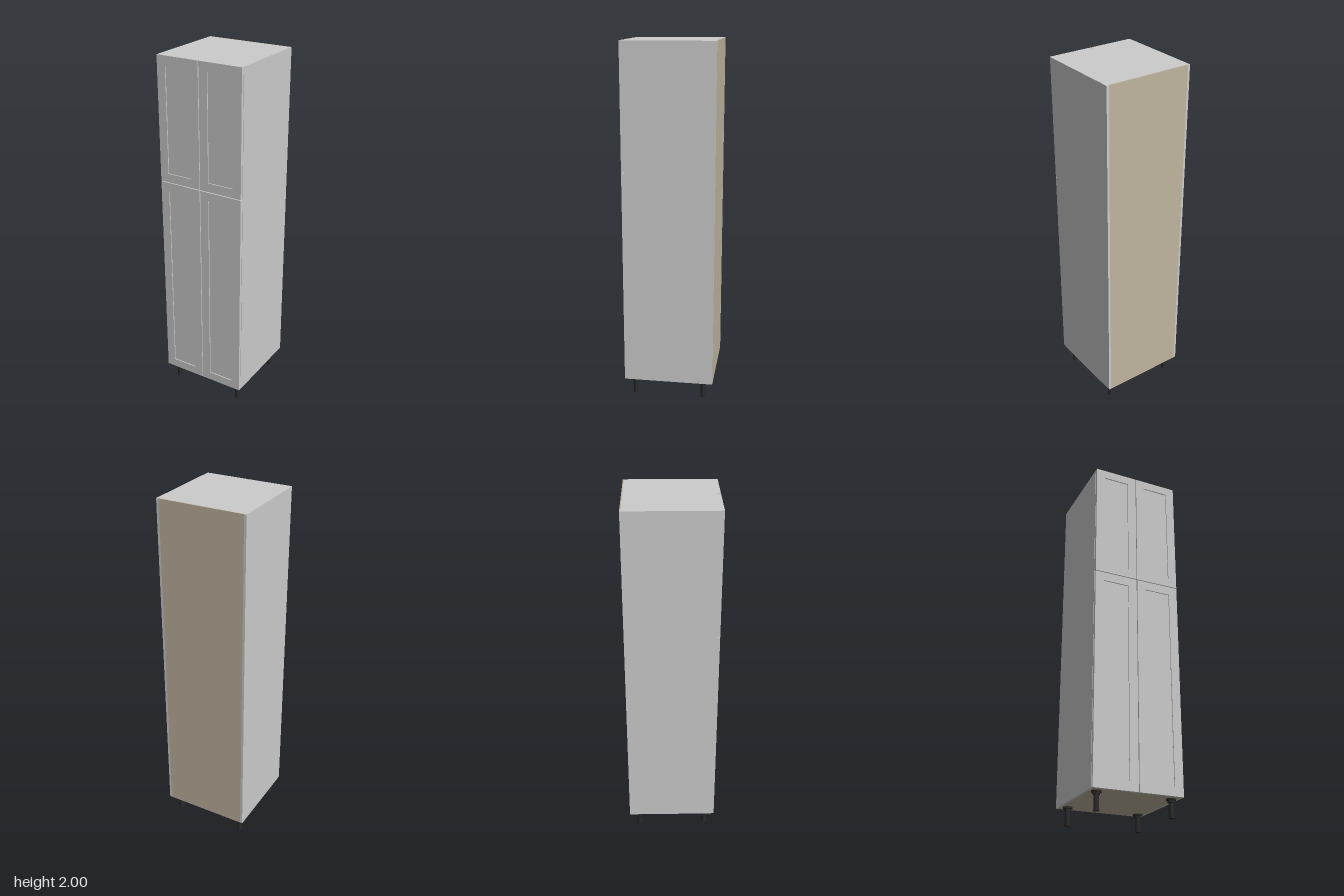
import * as THREE from 'three';

const grey = new THREE.MeshStandardMaterial({ color: 0xcccccc });
const board = new THREE.MeshStandardMaterial({ color: 0xbfb59f });
const black = new THREE.MeshStandardMaterial({ color: 0x2a2a2a });

// Box given by its minimum and maximum corners
function box(name, material, [x0, y0, z0], [x1, y1, z1]) {
  const mesh = new THREE.Mesh(new THREE.BoxGeometry(x1 - x0, y1 - y0, z1 - z0), material);
  mesh.position.set((x0 + x1) / 2, (y0 + y1) / 2, (z0 + z1) / 2);
  mesh.name = name;
  return mesh;
}

// Shaker door: frame with a shallow recessed panel
function createDoor(name, x0, x1, y0, y1) {
  const door = new THREE.Group();
  door.name = name;
  const rail = 0.05, back = 0.235, front = 0.252, recess = 0.006;
  const rectangle = (path, a, b, c, d) =>
    path.moveTo(a, c).lineTo(b, c).lineTo(b, d).lineTo(a, d).closePath();
  const outline = rectangle(new THREE.Shape(), x0, x1, y0, y1);
  outline.holes.push(rectangle(new THREE.Path(), x0 + rail, x1 - rail, y0 + rail, y1 - rail));
  const frame = new THREE.Mesh(
    new THREE.ExtrudeGeometry(outline, { depth: front - back, bevelEnabled: false }), grey);
  frame.position.z = back;
  frame.name = 'doorFrame';
  door.add(frame, box('doorPanel', grey,
    [x0 + rail, y0 + rail, back], [x1 - rail, y1 - rail, front - recess]));
  return door;
}

// Leg: mounting plate, collar, post and foot
function createLeg(name, x, z) {
  const leg = new THREE.Group();
  leg.name = name;
  const parts = [
    ['legPlate', 0.026, 0.091, 0.1],
    ['legCollar', 0.019, 0.08, 0.091],
    ['legPost', 0.014, 0.008, 0.08],
    ['legFoot', 0.016, 0, 0.008],
  ];
  for (const [part, radius, y0, y1] of parts) {
    const mesh = new THREE.Mesh(new THREE.CylinderGeometry(radius, radius, y1 - y0, 20), black);
    mesh.position.y = (y0 + y1) / 2;
    mesh.name = part;
    leg.add(mesh);
  }
  leg.position.set(x, 0, z);
  return leg;
}

export function createModel() {
  const cabinet = new THREE.Group();
  cabinet.name = 'tallCabinet';
  const w = 0.253, t = 0.013, inner = w - t;
  const bottom = 0.1, top = 2, back = -0.253, backFront = -0.247, front = 0.235;

  // Carcass
  cabinet.add(
    box('rightSide', grey, [-w, bottom, back], [-inner, top, front]),
    box('leftSide', grey, [inner, bottom, back], [w, top, front]),
    box('topPanel', grey, [-inner, top - t, backFront], [inner, top, front]),
    box('bottomPanel', board, [-inner, bottom, backFront], [inner, bottom + t, front]),
    box('backPanel', board, [-inner, bottom, back], [inner, top, backFront]),
    box('middleShelf', grey, [-inner, 1.303, backFront], [inner, 1.317, front]),
  );

  // Doors and legs, mirrored left and right
  for (const [side, s] of [['left', 1], ['right', -1]]) {
    const x0 = Math.min(s * 0.002, s * 0.251), x1 = Math.max(s * 0.002, s * 0.251);
    cabinet.add(
      createDoor(side + 'LowerDoor', x0, x1, bottom, 1.308),
      createDoor(side + 'UpperDoor', x0, x1, 1.312, top),
      createLeg(side + 'FrontLeg', s * 0.207, 0.195),
      createLeg(side + 'BackLeg', s * 0.207, -0.196),
    );
  }
  return cabinet;
}
